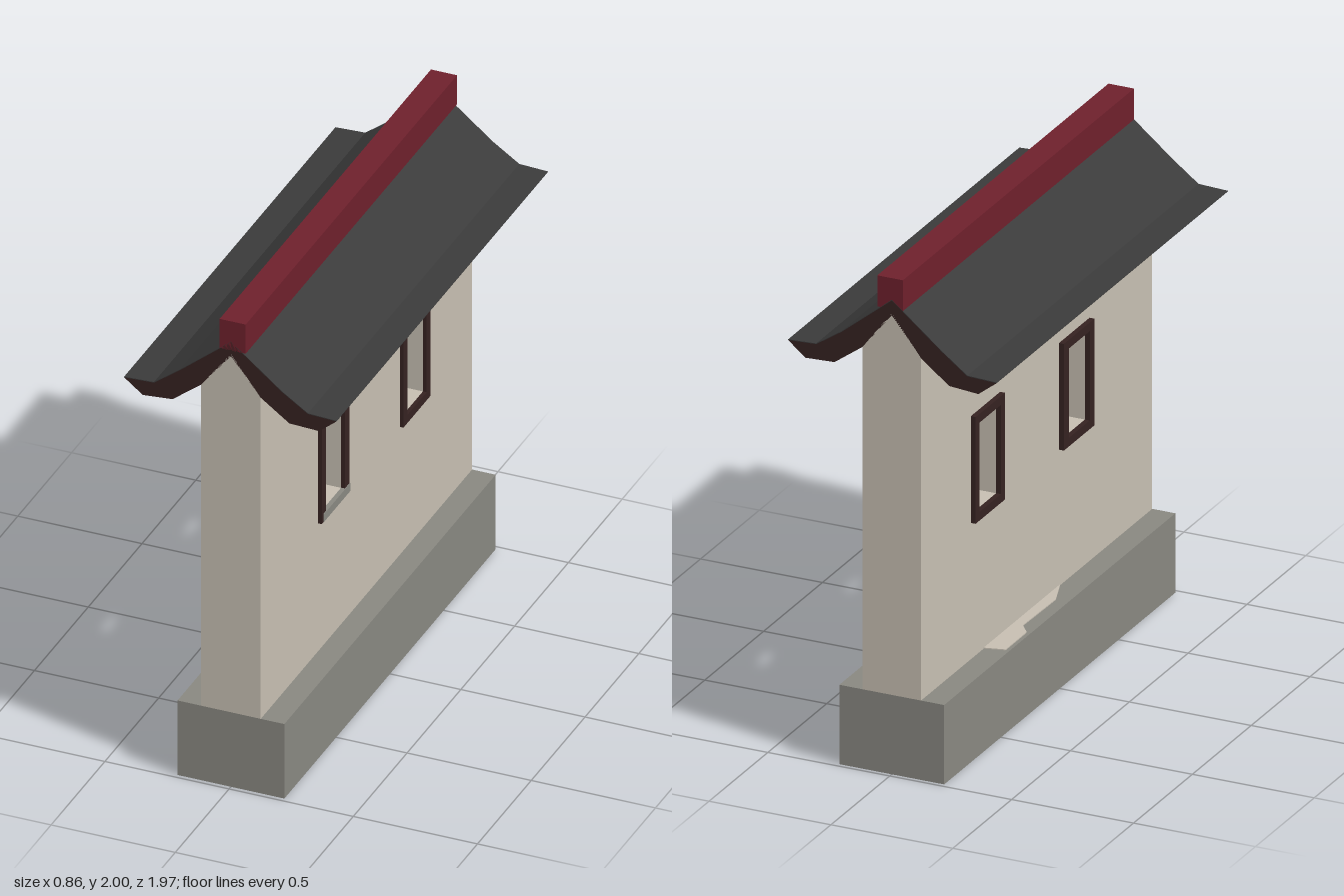
import * as THREE from 'three';

const LENGTH = 1.965;

function material(name, color) {
  const m = new THREE.MeshStandardMaterial({ color });
  m.name = name;
  return m;
}

function toShape(points, Type = THREE.Shape) {
  return new Type(points.map(([a, b]) => new THREE.Vector2(a, b)));
}

function rect(a0, a1, b0, b1) {
  return [[a0, b0], [a1, b0], [a1, b1], [a0, b1]];
}

// Cross-section in x and y, run along the whole length in z
function alongZ(points) {
  const g = new THREE.ExtrudeGeometry(toShape(points), { depth: LENGTH, bevelEnabled: false });
  return g.translate(0, 0, -LENGTH / 2);
}

// Outline in z and y with holes, filling x0 to x1
function acrossX(points, holes, x0, x1) {
  const shape = toShape(points);
  shape.holes = holes.map((h) => toShape(h, THREE.Path));
  const g = new THREE.ExtrudeGeometry(shape, { depth: x1 - x0, bevelEnabled: false });
  return g.rotateY(-Math.PI / 2).translate(x1, 0, 0);
}

export function createModel() {
  const group = new THREE.Group();
  const plaster = material('plaster', 0xc6beb1);
  const stone = material('stone', 0x888780);
  const wood = material('dark wood', 0x352221);
  const tile = material('roof tile', 0x3b3b3b);
  const red = material('ridge red', 0x6e202c);

  const add = (name, geometry, mat) => {
    const mesh = new THREE.Mesh(geometry, mat);
    mesh.name = name;
    group.add(mesh);
    return mesh;
  };

  // Stone footing
  add('plinth', new THREE.BoxGeometry(0.43, 0.32, LENGTH).translate(0, 0.16, 0), stone);

  // Wall with two window openings, and the gable wedge under the roof
  const windows = [
    { outer: rect(0.19, 0.45, 0.87, 1.3), inner: rect(0.235, 0.41, 0.905, 1.265) },
    { outer: rect(-0.56, -0.31, 0.87, 1.3), inner: rect(-0.525, -0.345, 0.905, 1.265) },
  ];
  const half = LENGTH / 2;
  add('wall', acrossX(rect(-half, half, 0.32, 1.7), windows.map((w) => w.inner), -0.12, 0.12), plaster);
  add('gable', alongZ([[-0.12, 1.7], [0.12, 1.7], [0, 1.86]]), plaster);

  // Window frames on both faces
  for (const w of windows) {
    add('windowFrameLeft', acrossX(w.outer, [w.inner], 0.12, 0.135), wood);
    add('windowFrameRight', acrossX(w.outer, [w.inner], -0.14, -0.12), wood);
  }
  add('windowSill', acrossX(rect(0.19, 0.435, 0.872, 0.906), [], 0.12, 0.138), stone);

  // Upswept roof: timber body with a thin tiled skin on top
  const top = [[0.425, 1.67], [0.31, 1.675], [0.205, 1.745], [0, 1.91],
    [-0.205, 1.742], [-0.31, 1.663], [-0.43, 1.658]];
  const under = [[-0.355, 1.6], [-0.235, 1.61], [-0.12, 1.7], [0, 1.85],
    [0.12, 1.7], [0.235, 1.617], [0.355, 1.612]];
  add('roofTimber', alongZ([...top, ...under]), wood);
  const skin = top.map(([x, y]) => [x, y + 0.003]).reverse();
  add('roofTiles', alongZ([...top, ...skin]), tile);

  // Ridge beam
  add('ridge', new THREE.BoxGeometry(0.105, 0.125, LENGTH).translate(0.007, 1.9375, 0), red);

  // Thin plaster patch on the footing beside the wall
  const patch = new THREE.ExtrudeGeometry(
    toShape([[-0.12, -0.45], [-0.2, -0.43], [-0.2, -0.25], [-0.16, -0.2], [-0.165, 0.07], [-0.12, 0.2]]),
    { depth: 0.004, bevelEnabled: false },
  );
  add('plasterPatch', patch.rotateX(Math.PI / 2).translate(0, 0.324, 0), plaster);

  return group;
}
